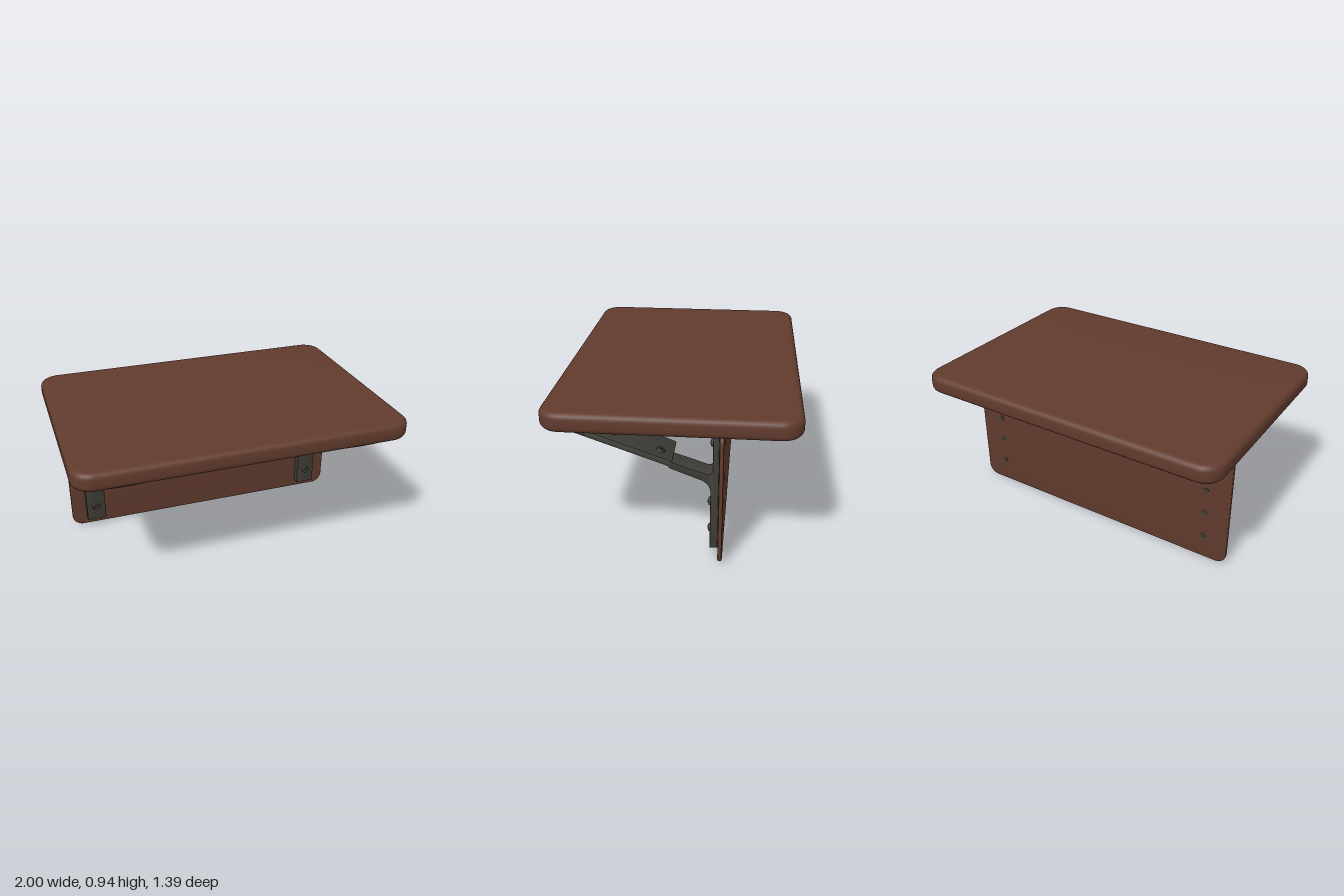
import * as THREE from 'three';
import { toCreasedNormals } from 'three/addons/utils/BufferGeometryUtils.js';

const wood = new THREE.MeshStandardMaterial({ color: 0x613b2d });
wood.name = 'brown wood';
const metal = new THREE.MeshStandardMaterial({ color: 0x3d3c35 });
metal.name = 'dark metal';

function add(parent, name, geometry, material, x = 0, y = 0, z = 0) {
  const mesh = new THREE.Mesh(geometry, material);
  mesh.name = name;
  mesh.position.set(x, y, z);
  parent.add(mesh);
  return mesh;
}

// Rectangle with round corners, centred on the origin
function roundedRect(w, h, r) {
  const s = new THREE.Shape();
  const x = w / 2, y = h / 2;
  s.absarc(x - r, y - r, r, 0, Math.PI / 2);
  s.absarc(-x + r, y - r, r, Math.PI / 2, Math.PI);
  s.absarc(-x + r, -y + r, r, Math.PI, Math.PI * 1.5);
  s.absarc(x - r, -y + r, r, Math.PI * 1.5, Math.PI * 2);
  return s;
}

// Slab of total size w x h x depth with rounded edges, centred
function slab(w, h, depth, corner, bevel, segments = 5) {
  const g = new THREE.ExtrudeGeometry(roundedRect(w - 2 * bevel, h - 2 * bevel, corner - bevel), {
    depth: depth - 2 * bevel, bevelSize: bevel, bevelThickness: bevel,
    bevelSegments: segments, curveSegments: 10,
  });
  g.translate(0, 0, -depth / 2 + bevel);
  return toCreasedNormals(g, 0.6);
}

// Extrude a (z, y) side profile across x, centred on x = 0
function sideProfile(shape, width, bevel) {
  const g = new THREE.ExtrudeGeometry(shape, {
    depth: width - 2 * bevel, bevelSize: bevel, bevelThickness: bevel,
    bevelOffset: -bevel, bevelSegments: 2, curveSegments: 10,
  });
  g.translate(0, 0, -width / 2 + bevel);
  g.rotateY(-Math.PI / 2);
  return toCreasedNormals(g, 0.6);
}

// Round screw head with a hexagonal centre, facing +z
function addScrew(parent, name, x, y, z) {
  const screw = new THREE.Group();
  screw.name = name;
  screw.position.set(x, y, z);
  const head = new THREE.CylinderGeometry(0.022, 0.028, 0.014, 20).rotateX(Math.PI / 2);
  const hub = new THREE.CylinderGeometry(0.011, 0.011, 0.008, 6).rotateX(Math.PI / 2);
  add(screw, 'screwHead', head, metal);
  add(screw, 'screwHub', hub, metal, 0, 0, 0.008);
  parent.add(screw);
  return screw;
}

function createBracket(side) {
  const bracket = new THREE.Group();
  bracket.name = side > 0 ? 'leftBracket' : 'rightBracket';
  const postX = 0.768 * side;

  // Upright with the curved root of the arm
  const p = new THREE.Shape();
  p.moveTo(-0.257, 0.055);
  p.lineTo(-0.212, 0.055);
  p.lineTo(-0.212, 0.42);
  p.quadraticCurveTo(-0.21, 0.475, -0.15, 0.497);
  p.lineTo(0.02, 0.562);
  p.lineTo(0.02, 0.602);
  p.lineTo(-0.19, 0.533);
  p.quadraticCurveTo(-0.222, 0.525, -0.224, 0.57);
  p.lineTo(-0.222, 0.826);
  p.lineTo(-0.257, 0.826);
  p.closePath();
  add(bracket, 'upright', sideProfile(p, 0.125, 0.004), metal, postX);

  // Wide sloping arm plate with a bowed front edge
  const slope = Math.atan(0.365), length = 0.655;
  const s = new THREE.Shape();
  s.moveTo(-0.112, 0);
  s.lineTo(0.122, 0);
  s.lineTo(0.135, length - 0.03);
  s.quadraticCurveTo(0.133, length - 0.012, 0.11, length - 0.008);
  s.quadraticCurveTo(0, length + 0.012, -0.11, length - 0.008);
  s.quadraticCurveTo(-0.133, length - 0.012, -0.135, length - 0.03);
  s.lineTo(-0.125, 0.015);
  s.quadraticCurveTo(-0.125, 0, -0.112, 0);
  const plate = new THREE.ExtrudeGeometry(s, {
    depth: 0.028, bevelSize: 0.004, bevelThickness: 0.004, bevelOffset: -0.004, bevelSegments: 2,
  });
  if (side < 0) plate.rotateY(Math.PI).translate(0, 0, 0.028);
  const arm = new THREE.Group();
  arm.name = 'arm';
  arm.position.set(0.71 * side, 0.6, 0);
  arm.rotation.x = Math.PI / 2 - slope;
  bracket.add(arm);
  add(arm, 'armPlate', toCreasedNormals(plate, 0.6), metal);
  // Raised lip along the front
  add(arm, 'frontLip', new THREE.BoxGeometry(0.24, 0.03, 0.018), metal, 0, length - 0.022, -0.008);

  // Arm screws, showing on both faces
  for (const d of [0.075, 0.36, 0.5]) {
    addScrew(arm, 'armScrewUnder', 0.04 * side, d, 0.036);
    addScrew(arm, 'armScrewTop', 0.04 * side, d, -0.008).rotation.y = Math.PI;
  }

  // Flared foot joining the arm to the top
  const f = new THREE.Shape();
  f.moveTo(0.47, 0.75);
  f.lineTo(0.56, 0.775);
  f.quadraticCurveTo(0.53, 0.8, 0.565, 0.827);
  f.lineTo(0.475, 0.827);
  f.quadraticCurveTo(0.515, 0.79, 0.47, 0.75);
  add(bracket, 'topFoot', sideProfile(f, 0.26, 0.003), metal, 0.715 * side);

  // Screws through the upright, with their ends on the back of the board
  for (const y of [0.155, 0.33, 0.7]) {
    addScrew(bracket, 'uprightScrew', postX, y, y > 0.5 ? -0.217 : -0.207);
  }
  for (const y of [0.155, 0.33, 0.49, 0.7]) {
    const end = new THREE.CylinderGeometry(0.018, 0.018, 0.034, 16).rotateX(Math.PI / 2);
    add(bracket, 'screwEnd', end, metal, postX, y, -0.27);
  }
  return bracket;
}

export function createModel() {
  const model = new THREE.Group();
  model.name = 'wallTable';

  // Table top
  const top = slab(2, 1.39, 0.112, 0.12, 0.035);
  top.rotateX(-Math.PI / 2);
  add(model, 'tableTop', top, wood, 0, 0.881, 0);

  // Thin back board
  add(model, 'backBoard', slab(1.85, 0.822, 0.024, 0.07, 0.007, 3), wood, 0, 0.411, -0.273);

  for (const side of [-1, 1]) model.add(createBracket(side));
  return model;
}
